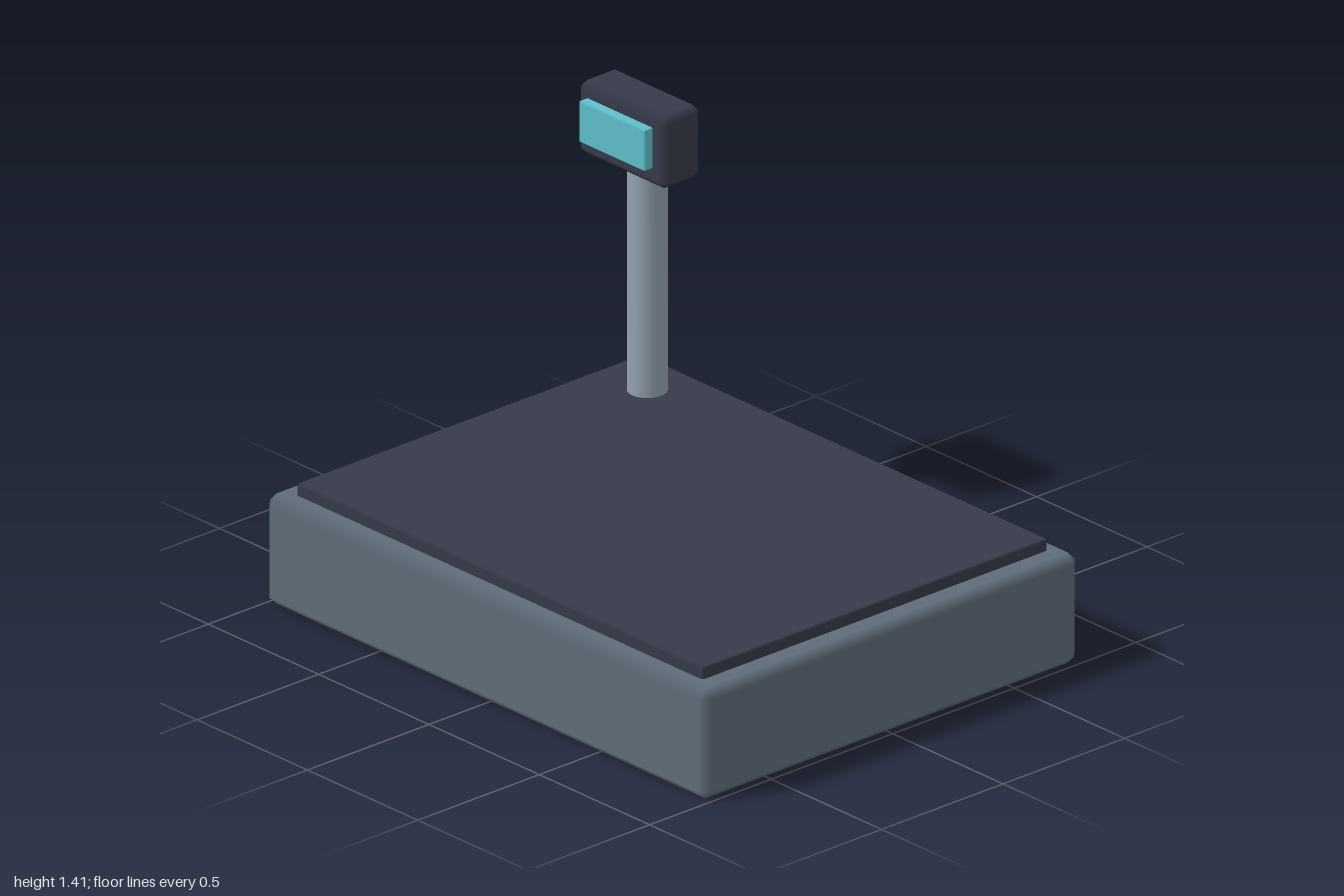
import * as THREE from 'three';
import { ConvexGeometry } from 'three/addons/geometries/ConvexGeometry.js';

const material = (name, color) => {
  const m = new THREE.MeshStandardMaterial({ color });
  m.name = name;
  return m;
};

// Box with one-step bevels: flat main faces, shading blended across the bevels.
function bevelBox(w, h, d, bevel) {
  const half = [w / 2, h / 2, d / 2];
  const points = [];
  for (let axis = 0; axis < 3; axis++)
    for (const sx of [-1, 1]) for (const sy of [-1, 1]) for (const sz of [-1, 1]) {
      const s = [sx, sy, sz];
      points.push(new THREE.Vector3(...half.map((v, i) => s[i] * (i === axis ? v : v - bevel))));
    }
  const geometry = new ConvexGeometry(points);
  const pos = geometry.attributes.position, normal = geometry.attributes.normal;
  for (let i = 0; i < pos.count; i++) {
    const n = half.map((v, a) => {
      const c = pos.getComponent(i, a);
      return Math.abs(c) > v - bevel / 2 ? Math.sign(c) : 0;
    });
    normal.setXYZ(i, ...n);
  }
  return geometry;
}

export function createModel() {
  const group = new THREE.Group();
  const slate = material('slate housing', 0x5f6d7a);
  const dark = material('dark plastic', 0x363a4a);
  const steel = material('grey steel', 0x93a1af);
  const cyan = material('cyan display', 0x5fbfcc);

  const add = (name, geometry, mat, x, y, z) => {
    const mesh = new THREE.Mesh(geometry, mat);
    mesh.name = name;
    mesh.position.set(x, y, z);
    group.add(mesh);
  };

  // Weighing base and platform
  add('base', bevelBox(2, 0.37, 1.55, 0.03), slate, 0, 0.185, 0);
  add('platform', bevelBox(1.84, 0.08, 1.42, 0.006), dark, 0, 0.37, 0);

  // Post with a slightly bevelled top, running up behind the display
  const r = 0.0625;
  const profile = [[0, 0], [r, 0], [r, 0], [r, 0.9], [r - 0.01, 0.91], [r - 0.01, 0.91], [0, 0.91]]
    .map(([x, y]) => new THREE.Vector2(x, y));
  add('post', new THREE.LatheGeometry(profile, 24), steel, -0.712, 0.38, -0.545);

  // Display head and its screen
  add('displayHead', bevelBox(0.4, 0.246, 0.165, 0.026), dark, -0.712, 1.292, -0.513);
  add('screen', bevelBox(0.3, 0.138, 0.06, 0.005), cyan, -0.712, 1.302, -0.427);

  return group;
}
